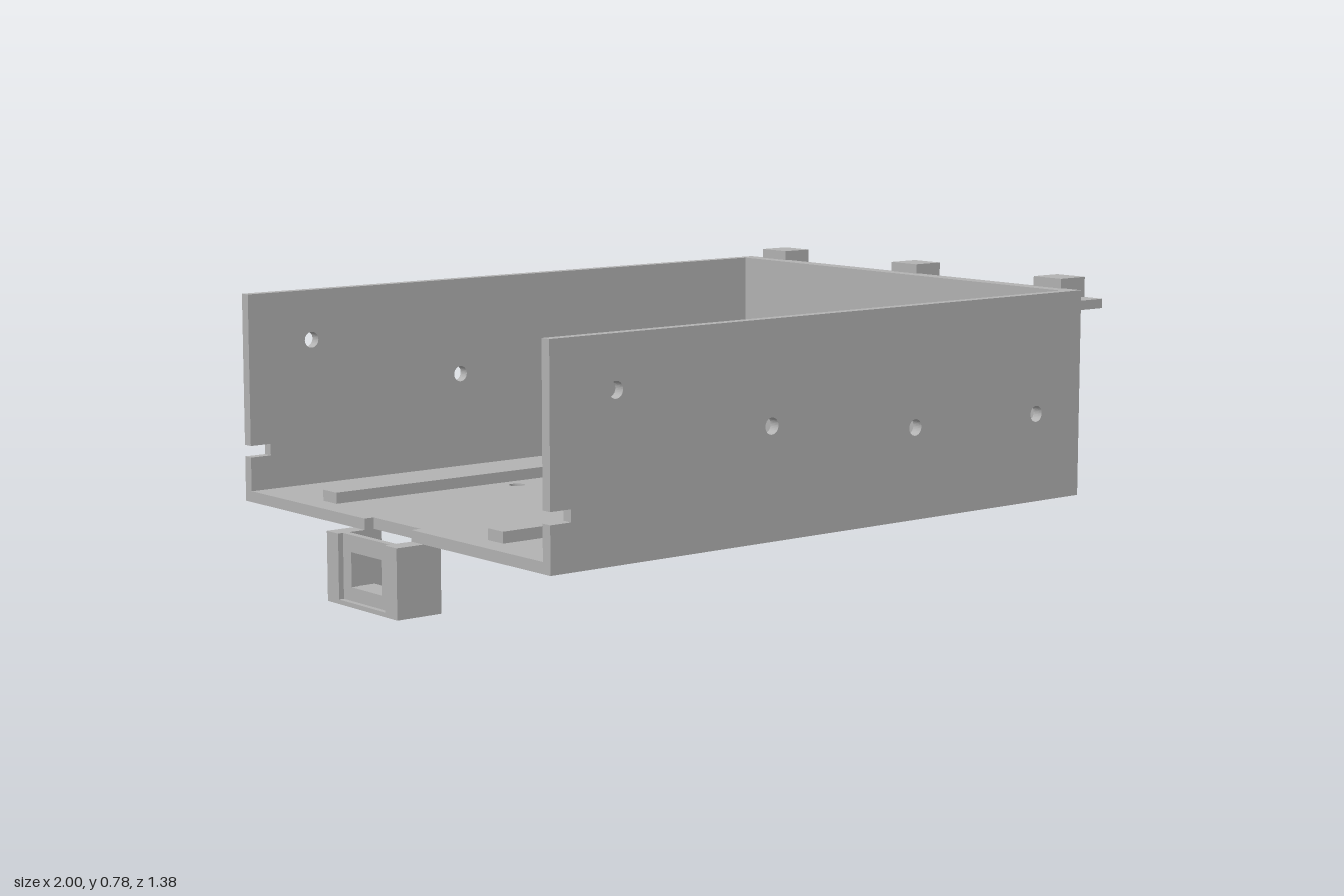
import * as THREE from 'three';

const grey = new THREE.MeshStandardMaterial({ color: 0xb2b2b2 });
grey.name = 'grey';

// closed outline from corner points, with optional round and rectangular holes
function outline(points, circles = [], rects = []) {
  const shape = new THREE.Shape(points.map(([x, y]) => new THREE.Vector2(x, y)));
  for (const [x, y, r] of circles) {
    shape.holes.push(new THREE.Path().absarc(x, y, r, 0, Math.PI * 2, true));
  }
  for (const [x0, y0, x1, y1] of rects) {
    shape.holes.push(new THREE.Path([[x0, y0], [x0, y1], [x1, y1], [x1, y0]].map(([x, y]) => new THREE.Vector2(x, y))));
  }
  return shape;
}

const rect = (x0, y0, x1, y1) => [[x0, y0], [x1, y0], [x1, y1], [x0, y1]];

function extrude(shape, depth) {
  return new THREE.ExtrudeGeometry(shape, { depth, bevelEnabled: false, curveSegments: 16 });
}

export function createModel() {
  const model = new THREE.Group();
  const add = (name, geometry, parent = model) => {
    const mesh = new THREE.Mesh(geometry, grey);
    mesh.name = name;
    parent.add(mesh);
    return mesh;
  };
  const box = (name, x0, x1, y0, y1, z0, z1, parent) => {
    const g = new THREE.BoxGeometry(x1 - x0, y1 - y0, z1 - z0);
    g.translate((x0 + x1) / 2, (y0 + y1) / 2, (z0 + z1) / 2);
    return add(name, g, parent);
  };
  // horizontal plate: outline in x and z, resting on height y
  const plate = (name, shape, y, thickness, parent) =>
    add(name, extrude(shape, thickness).rotateX(-Math.PI / 2).translate(0, y, 0), parent);

  // long side walls with screw holes and a slot in the open end
  const wallPoints = [
    [-0.918, 0.185], [0.915, 0.185], [0.915, 0.755], [-0.918, 0.755],
    [-0.918, 0.34], [-0.855, 0.34], [-0.855, 0.308], [-0.918, 0.308],
  ];
  const wallHoles = [[-0.717, 0.617, 0.022], [-0.215, 0.482, 0.022], [0.288, 0.432, 0.022], [0.745, 0.427, 0.022]];
  for (const [name, z] of [['frontWall', 0.66], ['backWall', -0.69]]) {
    add(name, extrude(outline(wallPoints, wallHoles), 0.03).translate(0, 0, z));
  }

  // end wall
  box('endWall', 0.865, 0.915, 0.185, 0.755, -0.66, 0.66);

  // floor with mounting holes, cable hole and a notch above the latch
  const floorPoints = [
    [-0.918, -0.66], [0.865, -0.66], [0.865, 0.66], [-0.918, 0.66],
    [-0.918, 0.107], [-0.89, 0.107], [-0.89, -0.107], [-0.918, -0.107],
  ];
  const floorHoles = [[0.428, 0, 0.07]];
  for (const x of [-0.293, 0.277]) for (const y of [-0.286, 0.286]) floorHoles.push([x, y, 0.022]);
  plate('floor', outline(floorPoints, floorHoles), 0.185, 0.03);

  // rails on the floor
  for (const side of [-1, 1]) {
    const rail = box('rail', -0.85, 0.82, 0.215, 0.245, -0.032, 0.032);
    rail.position.z = side * 0.375;
  }

  // flange outside the end wall, with screw holes under its tabs
  const tabCentres = [-0.572, 0, 0.572];
  plate('flange', outline(rect(0.915, -0.69, 1, 0.69), tabCentres.map((z) => [0.957, z, 0.022])), 0.7, 0.026);
  for (const z of tabCentres) {
    box('flangeTab', 0.905, 1, 0.726, 0.782, z - 0.052, z + 0.052);
  }

  // latch bracket below the open end
  const latch = new THREE.Group();
  latch.name = 'latch';
  model.add(latch);
  for (const [z0, z1] of [[-0.16, -0.107], [0.107, 0.16]]) {
    box('latchCheek', -1, -0.865, 0, 0.185, z0, z1, latch);
  }
  box('latchBase', -1, -0.865, 0, 0.012, -0.107, 0.107, latch);
  box('latchStep', -0.965, -0.89, 0.012, 0.04, -0.107, 0.107, latch);
  const windowShape = outline(rect(-0.107, 0.012, 0.107, 0.185), [], [[-0.07, 0.048, 0.07, 0.14]]);
  const windowPlate = add('latchWindow', extrude(windowShape, 0.02), latch);
  windowPlate.rotation.y = Math.PI / 2;
  windowPlate.position.x = -0.985;

  return model;
}
